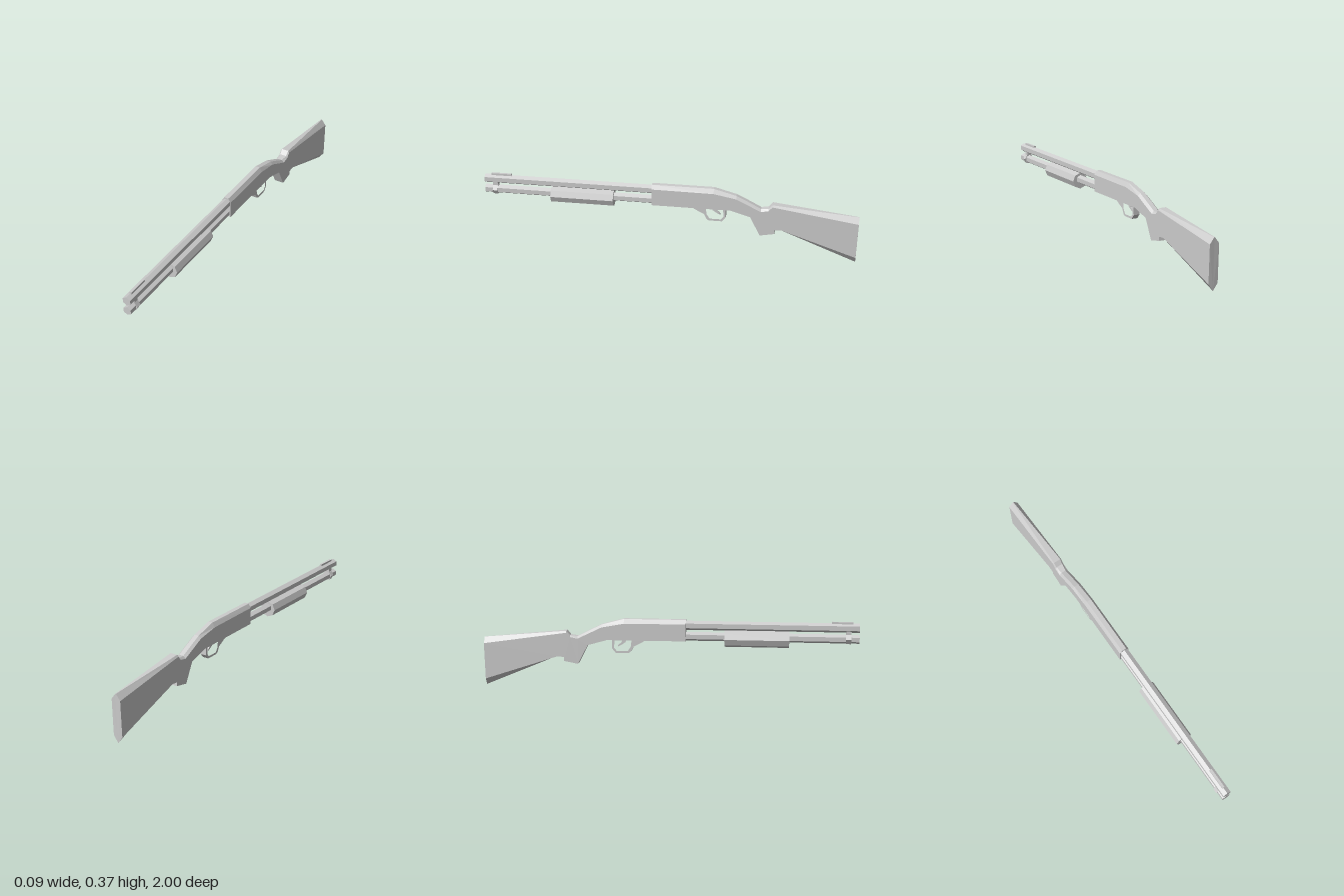
import * as THREE from 'three';

const material = new THREE.MeshStandardMaterial({ color: 0xcccccc, flatShading: true });
const HALF = 0.026; // half width of receiver and stock

function part(group, name, geometry) {
  const mesh = new THREE.Mesh(geometry, material);
  mesh.name = name;
  group.add(mesh);
}

// Faceted rod along z
function rod(radius, sides, y, z0, z1, turn = 0) {
  return new THREE.CylinderGeometry(radius, radius, z1 - z0, sides)
    .rotateX(Math.PI / 2).rotateZ(turn).translate(0, y, (z0 + z1) / 2);
}

function block(w, y0, y1, z0, z1) {
  return new THREE.BoxGeometry(w, y1 - y0, z1 - z0).translate(0, (y0 + y1) / 2, (z0 + z1) / 2);
}

// Side profile of (z, y) points, extruded across x
function plate(points, width, hole) {
  const vec = (list) => list.map(([z, y]) => new THREE.Vector2(z, y));
  const shape = new THREE.Shape(vec(points));
  if (hole) shape.holes.push(new THREE.Path(vec(hole)));
  return new THREE.ExtrudeGeometry(shape, { depth: width, bevelEnabled: false })
    .translate(0, 0, -width / 2).rotateY(-Math.PI / 2);
}

// Skin over slanted sections: [zTop, yTop, topHalf, yShoulder, zBottom, yBottom, yKeel]
function loft(sections) {
  const pos = [], index = [], n = 7;
  for (const [zt, yt, h, ys, zb, yb, yk] of sections) {
    pos.push(0, yk, zb, HALF, yb, zb, HALF, ys, zt, h, yt, zt,
      -h, yt, zt, -HALF, ys, zt, -HALF, yb, zb);
  }
  for (let s = 0; s < sections.length - 1; s++) {
    for (let j = 0; j < n; j++) {
      const a = s * n + j, b = s * n + (j + 1) % n;
      index.push(a, a + n, b, b, a + n, b + n);
    }
  }
  const last = (sections.length - 1) * n;
  for (let j = 1; j < n - 1; j++) {
    index.push(0, j, j + 1, last, last + j + 1, last + j);
  }
  const g = new THREE.BufferGeometry();
  g.setAttribute('position', new THREE.Float32BufferAttribute(pos, 3));
  g.setIndex(index);
  const flat = g.toNonIndexed();
  flat.computeVertexNormals();
  return flat;
}

export function createModel() {
  const model = new THREE.Group();
  model.name = 'shotgun';

  // Barrel, magazine tube and their fittings
  part(model, 'barrel', rod(0.0245, 6, 0.343, 0.05, 1));
  part(model, 'magazineTube', rod(0.0235, 6, 0.284, 0.05, 1));
  part(model, 'frontSight', block(0.013, 0.355, 0.374, 0.855, 0.965));
  part(model, 'tubeBand', rod(0.028, 6, 0.284, 0.93, 0.957, Math.PI / 6));
  part(model, 'barrelLug', block(0.026, 0.295, 0.335, 0.93, 0.957));
  part(model, 'slideGrip', rod(0.0445, 8, 0.2755, 0.295, 0.635));

  // Receiver flowing into the grip
  const seam = [-0.55, 0.305, 0.02, 0.295, -0.562, 0.163, 0.163];
  part(model, 'receiver', loft([
    [0.09, 0.373, 0.0125, 0.351, 0.09, 0.26, 0.26],
    [-0.24, 0.373, 0.0125, 0.349, -0.24, 0.26, 0.26],
    [-0.36, 0.341, 0.0125, 0.327, -0.33, 0.26, 0.26],
    [-0.43, 0.307, 0.0125, 0.293, -0.435, 0.23, 0.23],
    [-0.49, 0.276, 0.0125, 0.264, -0.488, 0.127, 0.127],
    [-0.53, 0.281, 0.018, 0.272, -0.565, 0.142, 0.142],
    seam,
  ]));

  // Shoulder stock, ridged above and below towards the butt
  part(model, 'stock', loft([
    seam,
    [-0.6, 0.3, 0.018, 0.288, -0.6, 0.166, 0.166],
    [-1, 0.262, 0.002, 0.23, -0.995, 0.036, 0],
  ]));

  // Trigger guard and trigger
  part(model, 'triggerGuard', plate(
    [[-0.115, 0.265], [-0.16, 0.24], [-0.19, 0.225], [-0.203, 0.198], [-0.216, 0.19],
      [-0.285, 0.19], [-0.305, 0.214], [-0.303, 0.265]],
    0.034,
    [[-0.2, 0.257], [-0.204, 0.225], [-0.22, 0.201], [-0.28, 0.201], [-0.294, 0.218], [-0.291, 0.257]]));
  part(model, 'trigger', plate(
    [[-0.225, 0.265], [-0.235, 0.245], [-0.255, 0.232], [-0.275, 0.222],
      [-0.272, 0.232], [-0.255, 0.245], [-0.25, 0.265]], 0.012));

  return model;
}
